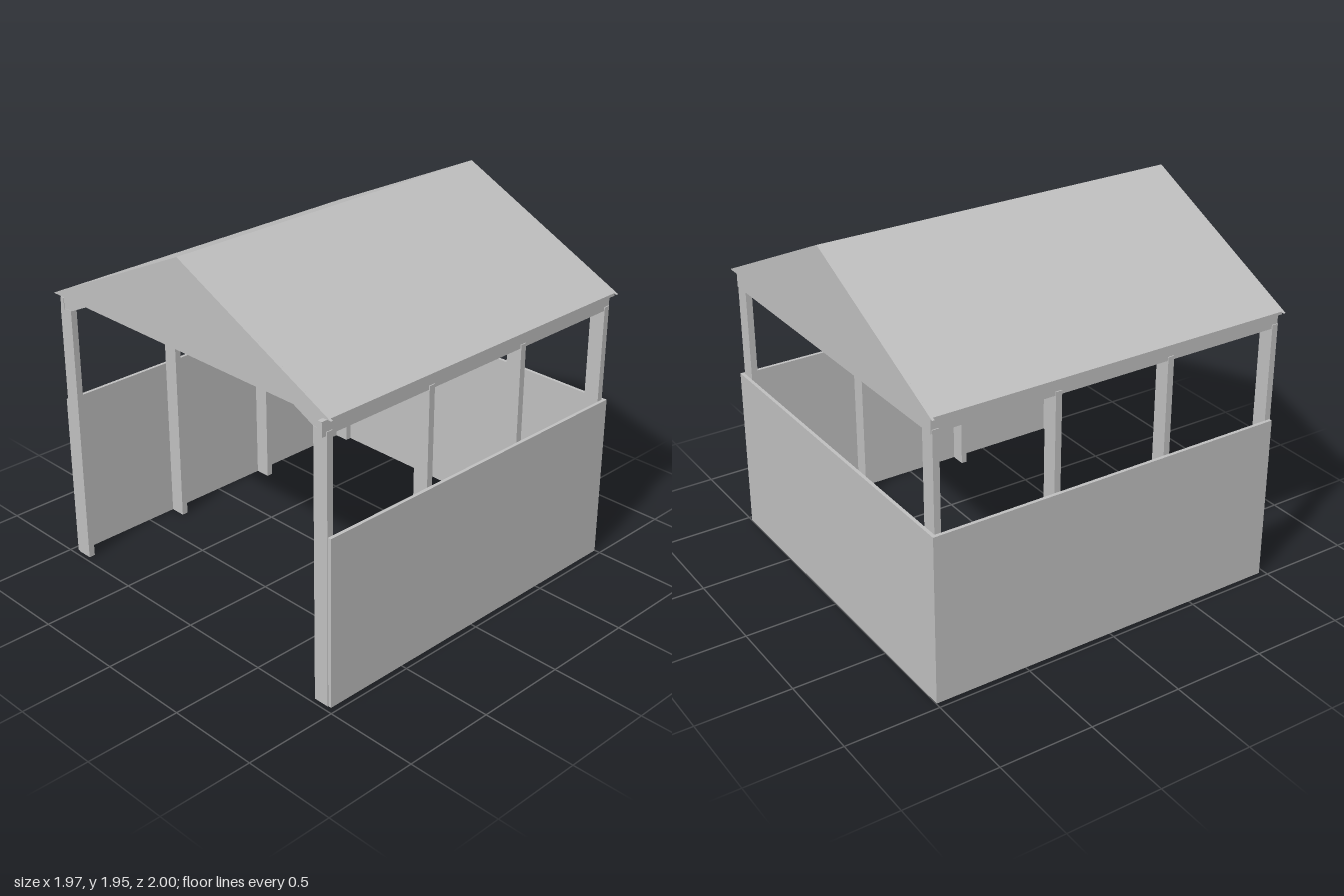
import * as THREE from 'three';

export function createModel() {
  const model = new THREE.Group();
  model.name = 'shelter';
  const grey = new THREE.MeshStandardMaterial({ color: 0xbfbfbf });
  grey.name = 'plain grey';

  const add = (name, geometry) => {
    const mesh = new THREE.Mesh(geometry, grey);
    mesh.name = name;
    model.add(mesh);
  };
  // Box given by its limits on each axis
  const box = (name, x0, x1, y0, y1, z0, z1) => {
    const g = new THREE.BoxGeometry(x1 - x0, y1 - y0, z1 - z0);
    g.translate((x0 + x1) / 2, (y0 + y1) / 2, (z0 + z1) / 2);
    add(name, g);
  };
  // Front outline extruded from z0 to z1
  const slab = (name, points, z0, z1) => {
    const shape = new THREE.Shape(points.map(([x, y]) => new THREE.Vector2(x, y)));
    const g = new THREE.ExtrudeGeometry(shape, { depth: z1 - z0, bevelEnabled: false });
    g.translate(0, 0, z0);
    add(name, g);
  };
  // Height of the roof surface at a distance from the ridge
  const roofY = (x) => 1.95 - 0.47 * Math.abs(x);
  // Bent band that follows both roof slopes
  const chevron = (x, top, bottom) => [
    [-x, roofY(x) - bottom], [0, 1.95 - bottom], [x, roofY(x) - bottom],
    [x, roofY(x) - top], [0, 1.95 - top], [-x, roofY(x) - top],
  ];

  // Low walls on three sides
  box('backWall', -0.968, 0.968, 0, 0.9, -0.998, -0.98);
  for (const [side, s] of [['left', 1], ['right', -1]]) {
    const mirrored = (name, a, b, ...rest) =>
      box(side + name, Math.min(s * a, s * b), Math.max(s * a, s * b), ...rest);
    mirrored('Wall', 0.95, 0.968, 0, 0.9, -0.98, 0.97);
    // Posts and the beam they carry
    [0.957, 0.317, -0.32, -0.963].forEach((z, i) =>
      mirrored('Post' + (i + 1), 0.865, 0.95, 0, 1.42, z - 0.017, z + 0.017));
    mirrored('TopBeam', 0.92, 0.945, 1.4, 1.475, -0.985, s > 0 ? 1.0 : 0.975);
  }
  box('backBeam', -0.945, 0.945, 1.4, 1.475, -0.985, -0.95);

  // Rafter pairs above the posts
  [0.955, 0.317, -0.32, -0.963].forEach((z, i) =>
    slab('rafterPair' + (i + 1), chevron(0.92, 0.016, 0.125), z - 0.017, z + 0.017));

  // Roof sheet and closed gable ends
  slab('roof', chevron(0.972, 0, 0.015), -0.988, 0.973);
  const gable = [[-0.985, 1.487], [0.985, 1.487], [0, 1.95]];
  slab('frontGable', gable, 0.973, 0.985);
  slab('backGable', gable, -1, -0.988);

  return model;
}
